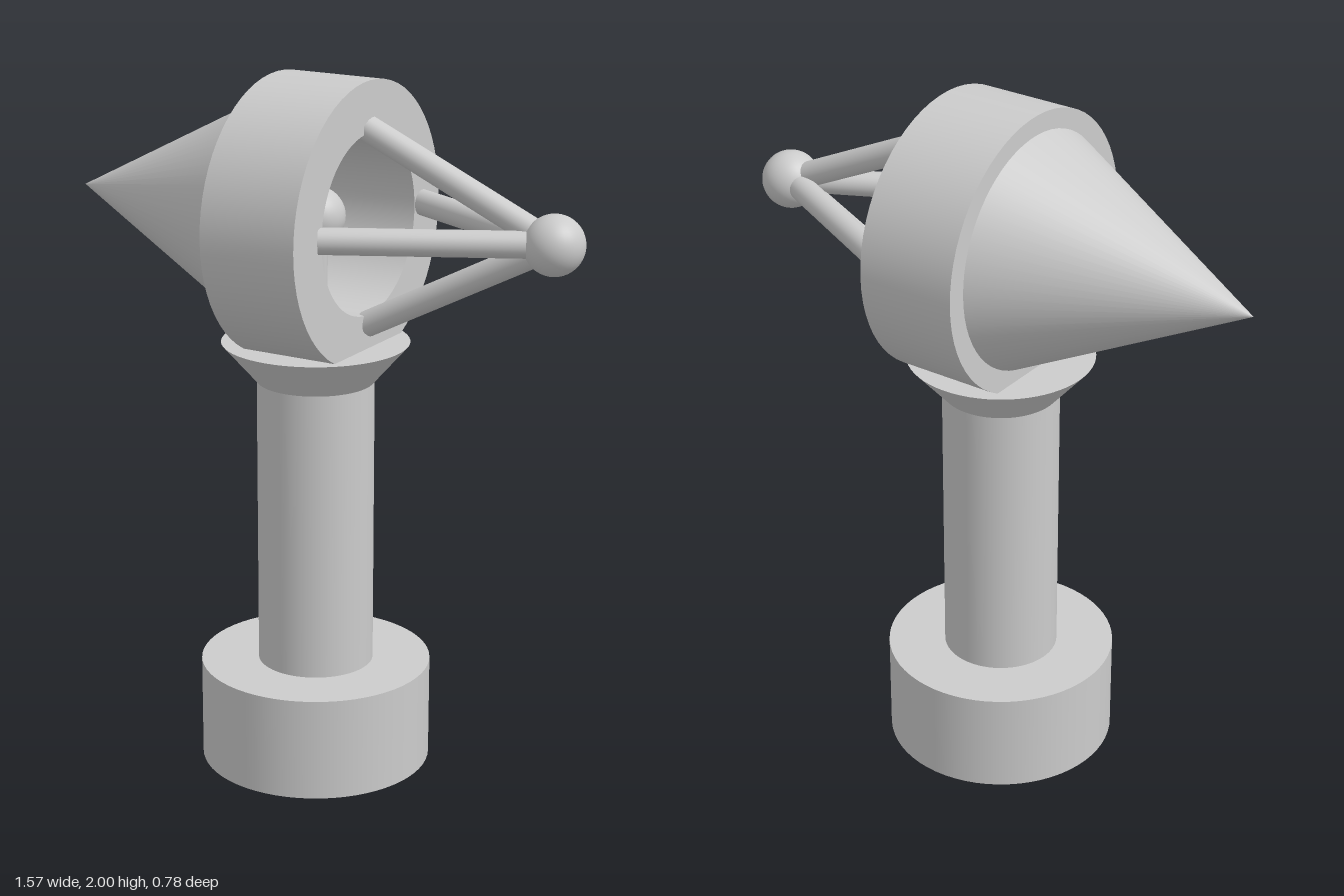
import * as THREE from 'three';
import { toCreasedNormals } from 'three/addons/utils/BufferGeometryUtils.js';

const SEG = 64;
const HEAD_Y = 1.61;

export function createModel() {
  const model = new THREE.Group();
  model.name = 'pedestalHead';
  const material = new THREE.MeshStandardMaterial({ color: 0xcccccc });

  const add = (name, geometry, x, y, z, parent = model) => {
    const mesh = new THREE.Mesh(geometry, material);
    mesh.name = name;
    mesh.position.set(x, y, z);
    parent.add(mesh);
    return mesh;
  };

  // Round bar between two points
  const rod = (name, from, to, radius, parent) => {
    const dir = to.clone().sub(from);
    const mid = from.clone().add(to).multiplyScalar(0.5);
    const mesh = add(name, new THREE.CylinderGeometry(radius, radius, dir.length(), 32), mid.x, mid.y, mid.z, parent);
    mesh.quaternion.setFromUnitVectors(new THREE.Vector3(0, 1, 0), dir.normalize());
  };

  // Pedestal: column running through a heavy collar, with a flared seat on top
  const axisZ = 0.01;
  add('column', new THREE.CylinderGeometry(0.164, 0.164, 1.2, SEG), 0, 0.6, axisZ);
  add('baseCollar', new THREE.CylinderGeometry(0.328, 0.328, 0.295, SEG), 0, 0.175, axisZ);
  add('flaredSeat', new THREE.CylinderGeometry(0.262, 0.164, 0.112, SEG), 0, 1.209, axisZ);

  // Head: open ring lying along x, closed behind by a cone
  const head = new THREE.Group();
  head.name = 'head';
  model.add(head);
  const half = 0.144;
  const profile = [[0.39, -half], [0.39, half], [0.25, half], [0.25, -half], [0.39, -half]]
    .map(([r, y]) => new THREE.Vector2(r, y));
  const ring = toCreasedNormals(new THREE.LatheGeometry(profile, SEG), 0.6);
  ring.rotateZ(-Math.PI / 2);
  add('ring', ring, 0.019, HEAD_Y, 0, head);

  const cone = new THREE.ConeGeometry(0.33, 0.66, SEG);
  cone.rotateZ(Math.PI / 2);
  add('rearCone', cone, -0.455, 1.616, -0.003, head);

  // Small ball on a post in the middle of the ring
  rod('innerPost', new THREE.Vector3(0, 1.24, axisZ), new THREE.Vector3(0, 1.6, axisZ), 0.033, head);
  add('innerBall', new THREE.SphereGeometry(0.082, 32, 24), 0, 1.617, axisZ, head);

  // Four struts from the ring's face meeting at a ball
  const tip = new THREE.Vector3(0.704, 1.617, -0.018);
  add('tipBall', new THREE.SphereGeometry(0.082, 32, 24), tip.x, tip.y, tip.z, head);
  const feet = { top: [1.87, -0.002], bottom: [1.332, -0.002], front: [1.616, 0.254], back: [1.616, -0.297] };
  for (const [side, [y, z]] of Object.entries(feet)) {
    rod(side + 'Strut', new THREE.Vector3(0.156, y, z), tip, 0.036, head);
  }

  return model;
}
